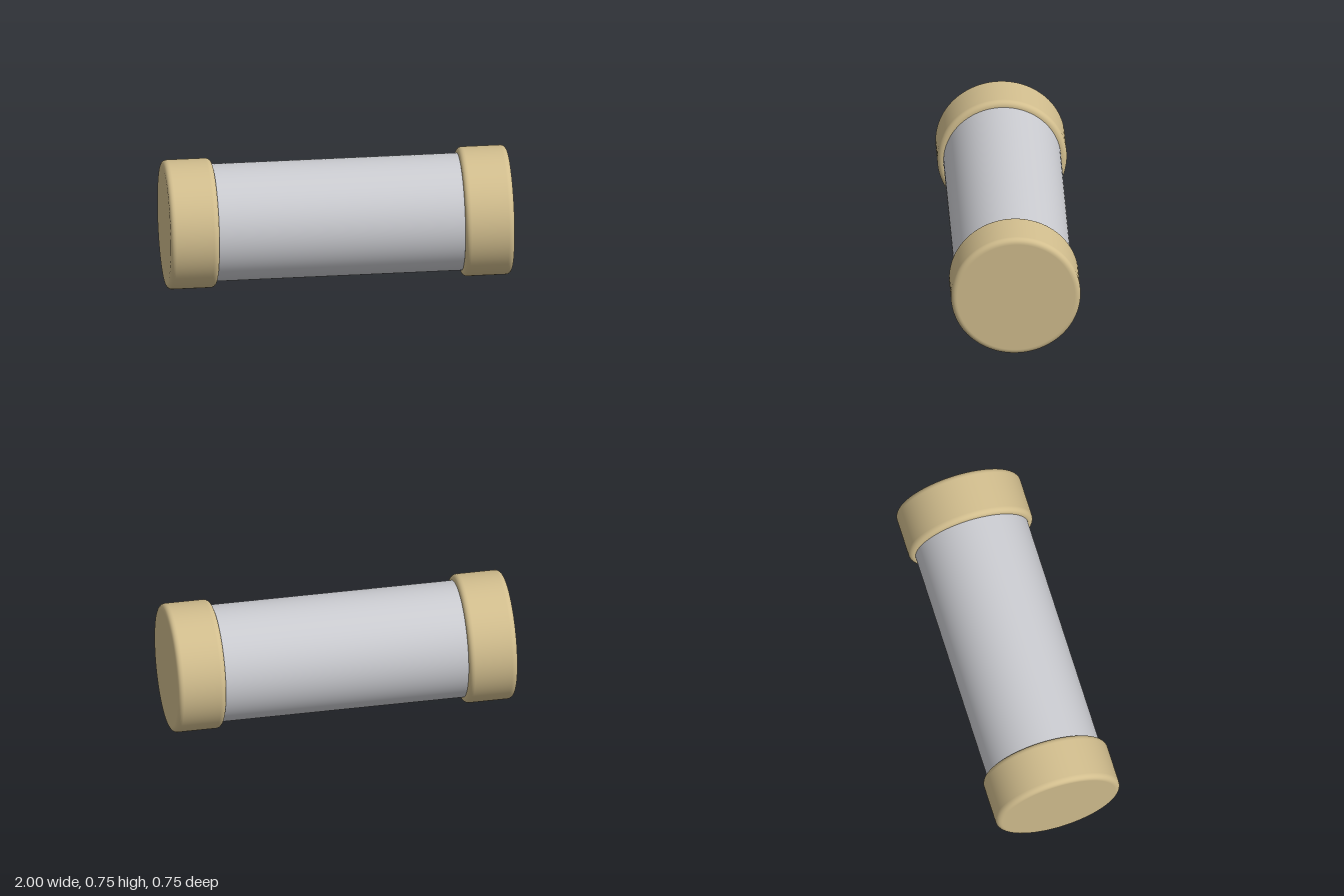
import * as THREE from 'three';

const AXIS_Y = 0.375;   // height of the tube's centre line
const CAP_R = 0.375, CAP_IN = 0.715, CAP_OUT = 1, BEVEL = 0.03;
const BODY_R = 0.34;

// Quarter-round edge of the cap profile, from angle a0 to a0 + 90 degrees
function roundEdge(cy, a0) {
  const points = [];
  for (let i = 0; i <= 6; i++) {
    const a = a0 + (i / 6) * Math.PI / 2;
    points.push(new THREE.Vector2(CAP_R - BEVEL + BEVEL * Math.cos(a), cy + BEVEL * Math.sin(a)));
  }
  return points;
}

export function createModel() {
  const model = new THREE.Group();
  const brass = new THREE.MeshStandardMaterial({ color: 0xd2be8e });
  brass.name = 'pale brass';
  const steel = new THREE.MeshStandardMaterial({ color: 0xcbccd1 });
  steel.name = 'light grey';

  // Straight tube body, its ends hidden inside the caps
  const body = new THREE.Mesh(new THREE.CylinderGeometry(BODY_R, BODY_R, 1.6, 96), steel);
  body.name = 'body';
  body.rotation.z = Math.PI / 2;
  body.position.y = AXIS_Y;
  model.add(body);

  // Rounded end caps; the extra rings keep the flat faces and wall evenly shaded
  const flat = CAP_R - BEVEL - 0.004;
  const profile = [
    new THREE.Vector2(0, CAP_IN),
    new THREE.Vector2(flat, CAP_IN),
    ...roundEdge(CAP_IN + BEVEL, -Math.PI / 2),
    new THREE.Vector2(CAP_R, CAP_IN + BEVEL + 0.004),
    new THREE.Vector2(CAP_R, CAP_OUT - BEVEL - 0.004),
    ...roundEdge(CAP_OUT - BEVEL, 0),
    new THREE.Vector2(flat, CAP_OUT),
    new THREE.Vector2(0, CAP_OUT),
  ];
  const capGeometry = new THREE.LatheGeometry(profile, 96);
  for (const [name, side] of [['leftCap', 1], ['rightCap', -1]]) {
    const cap = new THREE.Mesh(capGeometry, brass);
    cap.name = name;
    cap.rotation.z = -side * Math.PI / 2;
    cap.position.y = AXIS_Y;
    model.add(cap);
  }
  return model;
}
